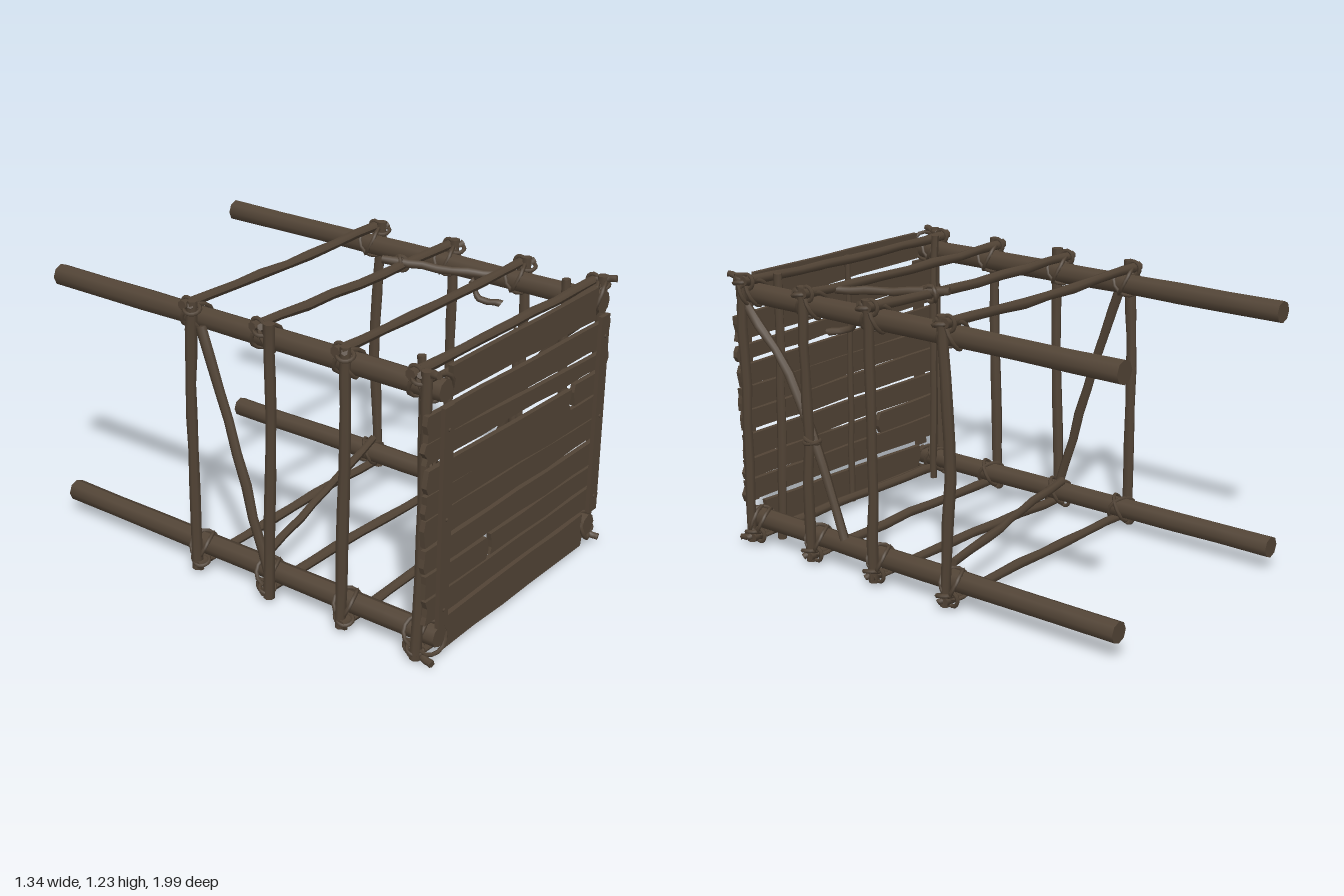
import * as THREE from 'three';

const wood = new THREE.MeshStandardMaterial({ color: 0x514335 });
wood.name = 'weathered brown wood';

export function createModel() {
  const root = new THREE.Group();
  root.name = 'lashedTowerFrame';

  let seed = 7;
  const rand = () => {
    seed = (seed * 16807) % 2147483647;
    return seed / 2147483647 - 0.5;
  };
  const V = (p) => new THREE.Vector3(...p);
  const add = (geometry, name) => {
    const mesh = new THREE.Mesh(geometry, wood);
    mesh.name = name;
    root.add(mesh);
    return mesh;
  };

  // Capped, slightly crooked round stick that follows a few points
  function stick(name, pts, r, wobble = 0.008, sides = 7) {
    const a = V(pts[0]), b = V(pts[pts.length - 1]);
    const curve = new THREE.CatmullRomCurve3(pts.map(V));
    const q = new THREE.Quaternion().setFromUnitVectors(
      new THREE.Vector3(0, 1, 0), b.clone().sub(a).normalize());
    const rows = 8;
    const bend = [], size = [];
    for (let i = 0; i <= rows; i++) {
      const inner = i > 0 && i < rows ? 1 : 0;
      bend.push([rand() * wobble * inner, rand() * wobble * inner]);
      size.push(1 + rand() * wobble * 25);
    }
    const g = new THREE.CylinderGeometry(r, r, 1, sides, rows);
    const pos = g.attributes.position, v = new THREE.Vector3();
    for (let i = 0; i < pos.count; i++) {
      const t = pos.getY(i) + 0.5, k = Math.round(t * rows);
      v.set(pos.getX(i) * size[k] + bend[k][0], 0, pos.getZ(i) * size[k] + bend[k][1]);
      v.applyQuaternion(q).add(curve.getPoint(t));
      pos.setXYZ(i, v.x, v.y, v.z);
    }
    g.computeVertexNormals();
    return add(g, name);
  }

  // Board with ragged ends: left and right x, then bottom and top y at each end
  function plank(x0, x1, l0, l1, r0, r1) {
    const pts = [];
    const n = Math.max(2, Math.round((x1 - x0) * 5));
    for (let i = 0; i <= n; i++) {
      const t = i / n;
      pts.push([x0 + (x1 - x0) * t, l0 + (r0 - l0) * t + (i % n ? rand() * 0.01 : 0)]);
    }
    for (const t of [0.35, 0.7]) pts.push([x1 + rand() * 0.03, r0 + (r1 - r0) * t]);
    for (let i = n; i >= 0; i--) {
      const t = i / n;
      pts.push([x0 + (x1 - x0) * t, l1 + (r1 - l1) * t + (i % n ? rand() * 0.008 : 0)]);
    }
    for (const t of [0.65, 0.3]) pts.push([x0 + rand() * 0.03, l0 + (l1 - l0) * t]);
    const shape = new THREE.Shape(pts.map((p) => new THREE.Vector2(...p)));
    const g = new THREE.ExtrudeGeometry(shape, { depth: 0.022, bevelEnabled: false });
    g.translate(0, 0, 0.94 + rand() * 0.008);
    add(g, 'plank');
  }

  // Rope loop around a joint
  function loop(x, y, z, r, rx, ry, rope = 0.009) {
    const m = add(new THREE.TorusGeometry(r, rope, 5, 14), 'ropeLashing');
    m.position.set(x, y, z);
    m.rotation.set(rx, ry, 0);
  }

  // Four long poles
  const corners = [
    [-0.555, 1.15], [0.565, 1.15], [-0.55, 0.12], [0.565, 0.13],
  ];
  for (const [x, y] of corners) {
    stick('longPole', [[x, y, 0.97], [x, y, 0], [x, y + (y > 1 ? -0.003 : 0.003), -1]], 0.046, 0.003, 8);
  }

  // Frames of crossbars and uprights: z at the -x side and at the +x side
  const stations = [[-0.23, -0.22], [0.13, 0.18], [0.53, 0.54], [0.87, 0.89]];
  stations.forEach(([za, zb], i) => {
    const zm = (za + zb) / 2;
    stick('topCrossbar', [[-0.64, 1.215, za], [0, 1.205, zm - 0.005], [0.64, 1.215, zb]], 0.021);
    stick('bottomCrossbar', [[-0.64, 0.06, za + 0.03], [0, 0.07, zm + 0.02], [0.64, 0.06, zb + 0.02]], 0.021);
    for (const s of [-1, 1]) {
      const z = [-0.2, 0.19, 0.555, 0.92][i];
      const bow = i === 0 ? -0.018 : 0.006;
      stick('upright', [[s * 0.622, 1.24, z + 0.01], [s * 0.618, 0.75, z + bow], [s * 0.622, 0.035, z + 0.01 * s]], 0.023);
    }
    // Lashings and loose stick ends at each corner
    for (const [x, y] of corners) {
      const s = Math.sign(x), u = y > 1 ? 1 : -1;
      const z = s < 0 ? za : zb;
      loop(x + s * 0.012, y + u * 0.008, z + 0.01, 0.063, 0.5 * u, 0.45 * s);
      loop(x + s * 0.012, y + u * 0.008, z + 0.015, 0.064, -0.5 * u, -0.4 * s);
      loop(x + s * 0.05, y + u * 0.06, z, 0.03, 0.2, Math.PI / 2);
      loop(x + s * 0.06, y + u * 0.05, z + 0.03, 0.032, Math.PI / 2 + 0.2, 0.3);
      stick('looseEnd', [[x + s * 0.04, y + u * 0.05, z + 0.02], [x + s * 0.085, y + u * 0.075, z + 0.045]], 0.014, 0.004, 6);
    }
  });

  // Extra rails and posts behind the plank wall
  stick('wallRail', [[-0.6, 1.2, 0.93], [0, 1.19, 0.925], [0.62, 1.2, 0.92]], 0.014);
  stick('wallRail', [[-0.6, 0.07, 0.93], [0, 0.06, 0.925], [0.62, 0.07, 0.92]], 0.014);
  for (const s of [-1, 1]) {
    stick('wallPost', [[s * 0.505, 1.235, 0.825], [s * 0.5, 0.6, 0.845], [s * 0.51, 0.03, 0.86]], 0.019);
  }
  stick('wallCentrePost', [[-0.02, 1.21, 0.925], [-0.018, 0.6, 0.925], [-0.01, 0.04, 0.925]], 0.014);

  // Diagonal braces: each side, floor and roof
  stick('rightBrace', [[0.6, 1.11, 0.93], [0.595, 0.87, 0.71], [0.59, 0.57, 0.55], [0.585, 0.16, 0.4]], 0.021);
  loop(0.605, 0.57, 0.552, 0.034, Math.PI / 2 + 0.2, 0);
  loop(0.605, 0.58, 0.552, 0.034, Math.PI / 2 - 0.3, 0.2);
  stick('leftBrace', [[-0.6, 1.13, -0.17], [-0.6, 0.8, -0.05], [-0.6, 0.45, 0.06], [-0.6, 0.1, 0.17]], 0.021);
  stick('floorBrace', [[-0.54, 0.175, 0.1], [-0.13, 0.185, 0.0], [0.16, 0.19, -0.08], [0.56, 0.2, -0.18]], 0.019);
  stick('roofBrace', [[0.26, 1.225, 0.08], [0.32, 1.215, 0.22], [0.38, 1.205, 0.38], [0.46, 1.2, 0.53]], 0.018);
  loop(0.29, 1.21, 0.14, 0.032, 0.2, 0.9);
  loop(0.3, 1.21, 0.15, 0.032, 0.1, 1.8);
  stick('hookedTwig', [[0.5, 1.13, 0.37], [0.49, 1.06, 0.42], [0.54, 1.04, 0.5]], 0.016);

  // Plank wall, top to bottom, two boards broken
  [
    [-0.51, 0.523, 1.11, 1.23, 1.085, 1.225],
    [-0.655, 0.645, 0.975, 1.08, 0.945, 1.055],
    [-0.66, 0.64, 0.885, 0.97, 0.855, 0.92],
    [-0.645, 0.36, 0.765, 0.86, 0.74, 0.835],
    [0.4, 0.63, 0.745, 0.84, 0.74, 0.835],
    [-0.65, 0.64, 0.66, 0.755, 0.635, 0.735],
    [-0.645, 0.63, 0.54, 0.652, 0.543, 0.63],
    [-0.645, 0.63, 0.43, 0.527, 0.415, 0.52],
    [-0.645, -0.23, 0.322, 0.42, 0.315, 0.41],
    [-0.2, 0.63, 0.32, 0.412, 0.32, 0.405],
    [-0.645, 0.63, 0.21, 0.312, 0.215, 0.31],
    [-0.5, 0.525, 0.04, 0.18, 0.042, 0.195],
  ].forEach((p) => plank(...p));

  // Upright battens nailed across the planks
  for (const [x, y0, y1] of [[-0.548, 0.17, 1.09], [0.57, 0.2, 1.095]]) {
    const b = add(new THREE.BoxGeometry(0.062, y1 - y0, 0.018), 'batten');
    b.position.set(x, (y0 + y1) / 2, 0.975);
    for (const t of [0.08, 0.5, 0.9]) {
      const nail = add(new THREE.CylinderGeometry(0.008, 0.008, 0.008, 6), 'nail');
      nail.rotation.x = Math.PI / 2;
      nail.position.set(x, y0 + (y1 - y0) * t, 0.987);
    }
  }

  // Rope around the pole ends at the wall
  for (const [x, y] of corners) {
    const s = Math.sign(x), u = y > 1 ? 1 : -1;
    loop(x + s * 0.015, y + u * 0.01, 0.94, 0.066, 0.35 * u, 0.4 * s);
    stick('looseEnd', [[x + s * 0.05, y + u * 0.07, 0.9], [x + s * 0.07, y + u * 0.085, 0.985]], 0.015, 0.004, 6);
  }

  return root;
}
